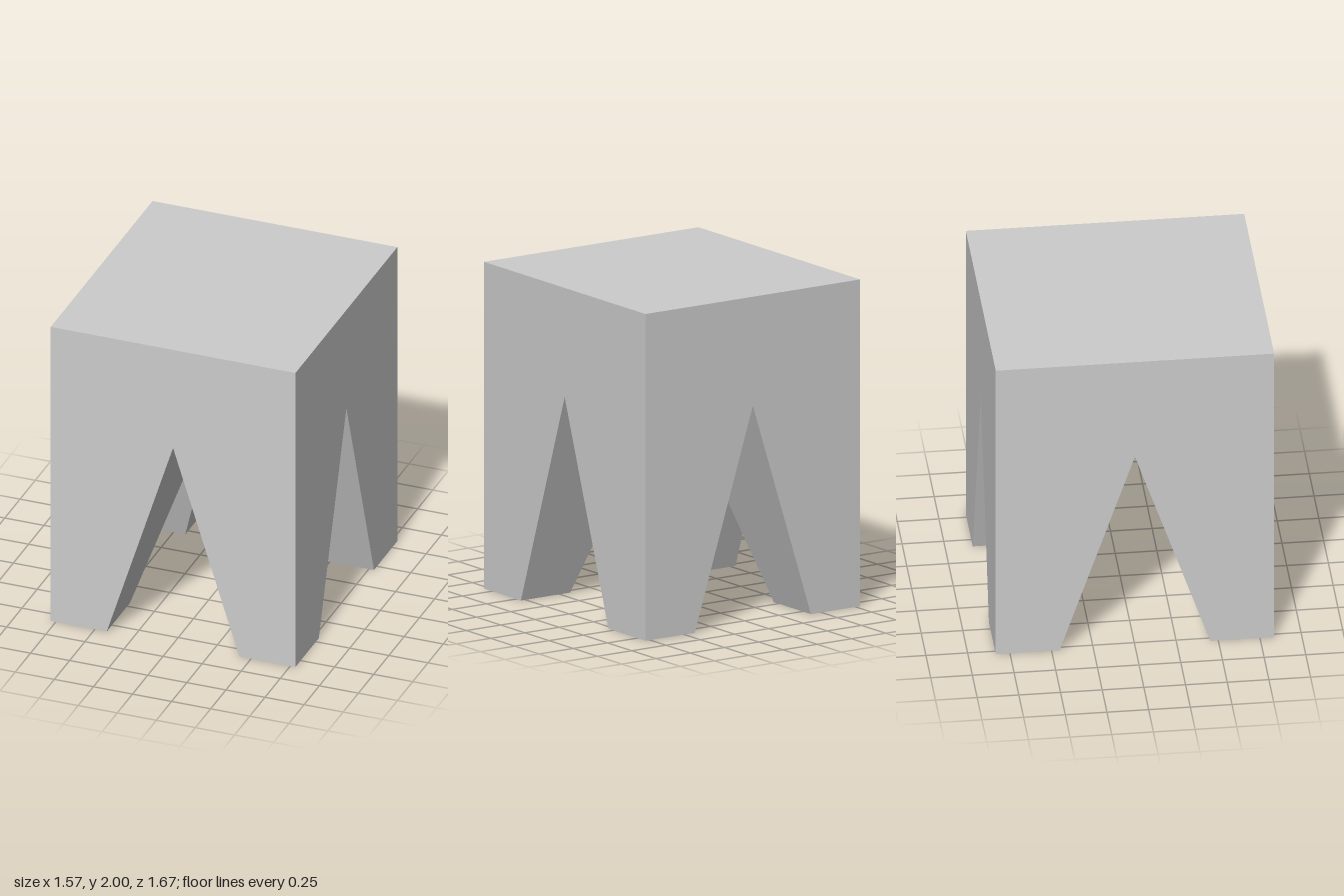
import * as THREE from 'three';

const HALF_X = 0.783, HALF_Z = 0.835, HEIGHT = 2;
const APEX = 1.333;                    // height where the notches close
const NOTCH_X = 0.424, NOTCH_Z = 0.452; // half widths of the notches at the floor

// Box between two corners, without one of its faces (order: +x -x +y -y +z -z)
function openBox(min, max, skippedFace) {
  const size = max.clone().sub(min);
  const geometry = new THREE.BoxGeometry(size.x, size.y, size.z);
  geometry.translate(...min.clone().add(max).multiplyScalar(0.5).toArray());
  const index = Array.from(geometry.index.array);
  index.splice(skippedFace * 6, 6);
  geometry.setIndex(index);
  geometry.clearGroups();
  return geometry.toNonIndexed();
}

export function createModel() {
  const model = new THREE.Group();
  model.name = 'notchedBlock';
  const material = new THREE.MeshStandardMaterial({ color: 0xcccccc, flatShading: true });

  const add = (geometry, name) => {
    const mesh = new THREE.Mesh(geometry, material);
    mesh.name = name;
    model.add(mesh);
  };

  // Solid upper block, open below where the legs join it
  add(openBox(
    new THREE.Vector3(-HALF_X, APEX, -HALF_Z),
    new THREE.Vector3(HALF_X, HEIGHT, HALF_Z), 3), 'upperBlock');

  // Four legs: each fills a quarter at the top and tapers to its outer corner
  for (const sx of [1, -1]) for (const sz of [1, -1]) {
    const leg = openBox(
      new THREE.Vector3(Math.min(0, sx * HALF_X), 0, Math.min(0, sz * HALF_Z)),
      new THREE.Vector3(Math.max(0, sx * HALF_X), APEX, Math.max(0, sz * HALF_Z)), 2);
    const p = leg.attributes.position;
    for (let i = 0; i < p.count; i++) {
      if (p.getY(i) > APEX / 2) continue;
      if (Math.abs(p.getX(i)) < 0.01) p.setX(i, sx * NOTCH_X);
      if (Math.abs(p.getZ(i)) < 0.01) p.setZ(i, sz * NOTCH_Z);
    }
    leg.computeVertexNormals();
    add(leg, (sz > 0 ? 'front' : 'back') + (sx > 0 ? 'Left' : 'Right') + 'Leg');
  }

  return model;
}
